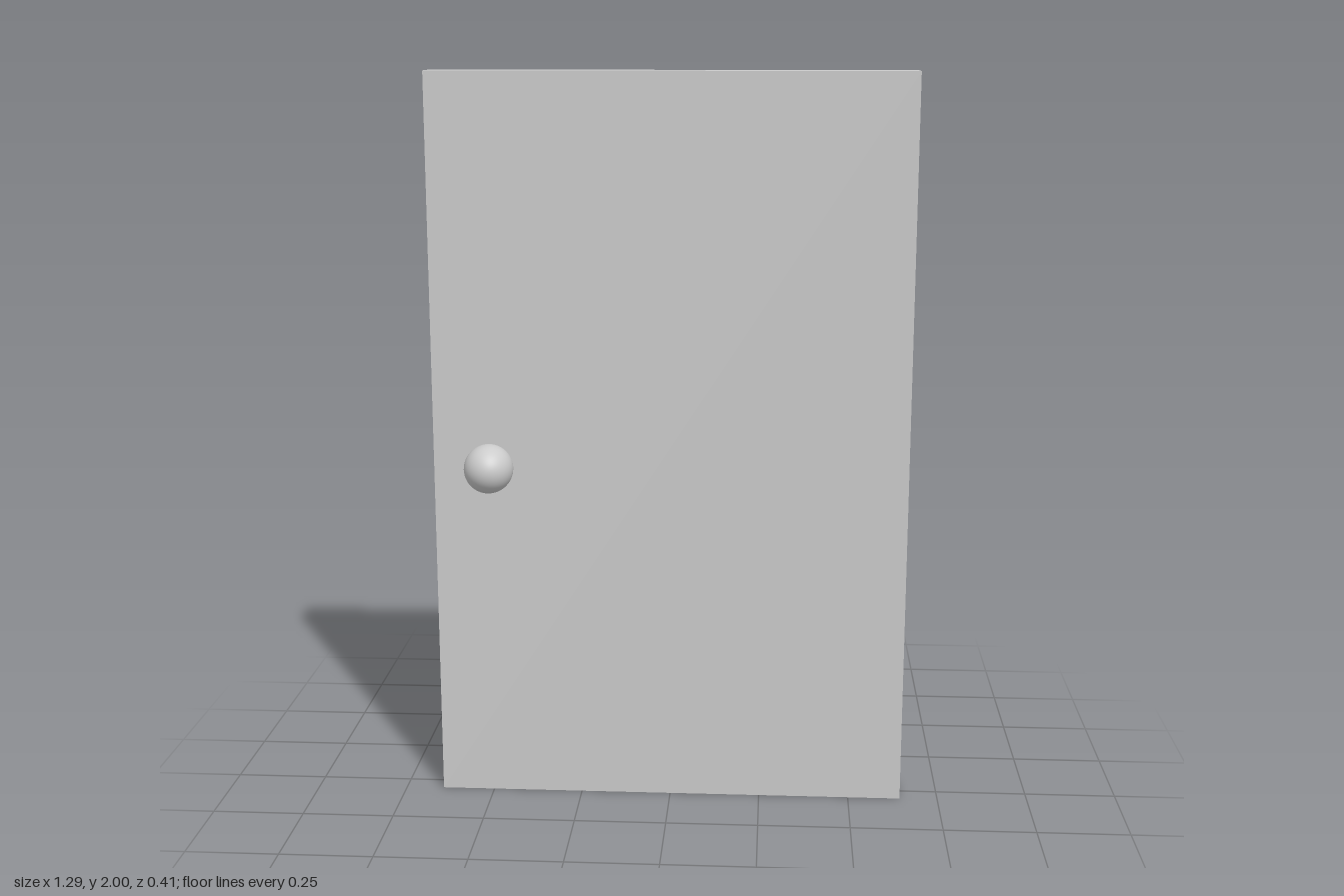
import * as THREE from 'three';

export function createModel() {
  const model = new THREE.Group();
  model.name = 'door';
  const material = new THREE.MeshStandardMaterial({ color: 0xcccccc });

  function add(parent, name, geometry) {
    const mesh = new THREE.Mesh(geometry, material);
    mesh.name = name;
    parent.add(mesh);
    return mesh;
  }

  // Plain slab
  const halfDepth = 0.052;
  const panel = add(model, 'doorPanel', new THREE.BoxGeometry(1.29, 2, halfDepth * 2));
  panel.position.y = 1;

  // One handle on each face, mirrored by a half turn
  for (const side of [1, -1]) {
    const handle = new THREE.Group();
    handle.name = side > 0 ? 'frontHandle' : 'backHandle';
    handle.position.set(-0.482, 0.957, side * halfDepth);
    handle.rotation.x = side * Math.PI / 2; // handle's own y points out of the door
    model.add(handle);

    // Thin backing plate
    const plate = add(handle, 'backPlate', new THREE.CylinderGeometry(0.045, 0.045, 0.005, 48));
    plate.position.y = 0.0025;

    // Short stem running into the knob
    const stem = add(handle, 'stem', new THREE.CylinderGeometry(0.026, 0.026, 0.03, 40));
    stem.position.y = 0.015;

    // Slightly elongated round knob
    const knob = add(handle, 'knob', new THREE.SphereGeometry(0.066, 48, 32));
    knob.scale.y = 1.1;
    knob.position.y = 0.082;
  }
  return model;
}
